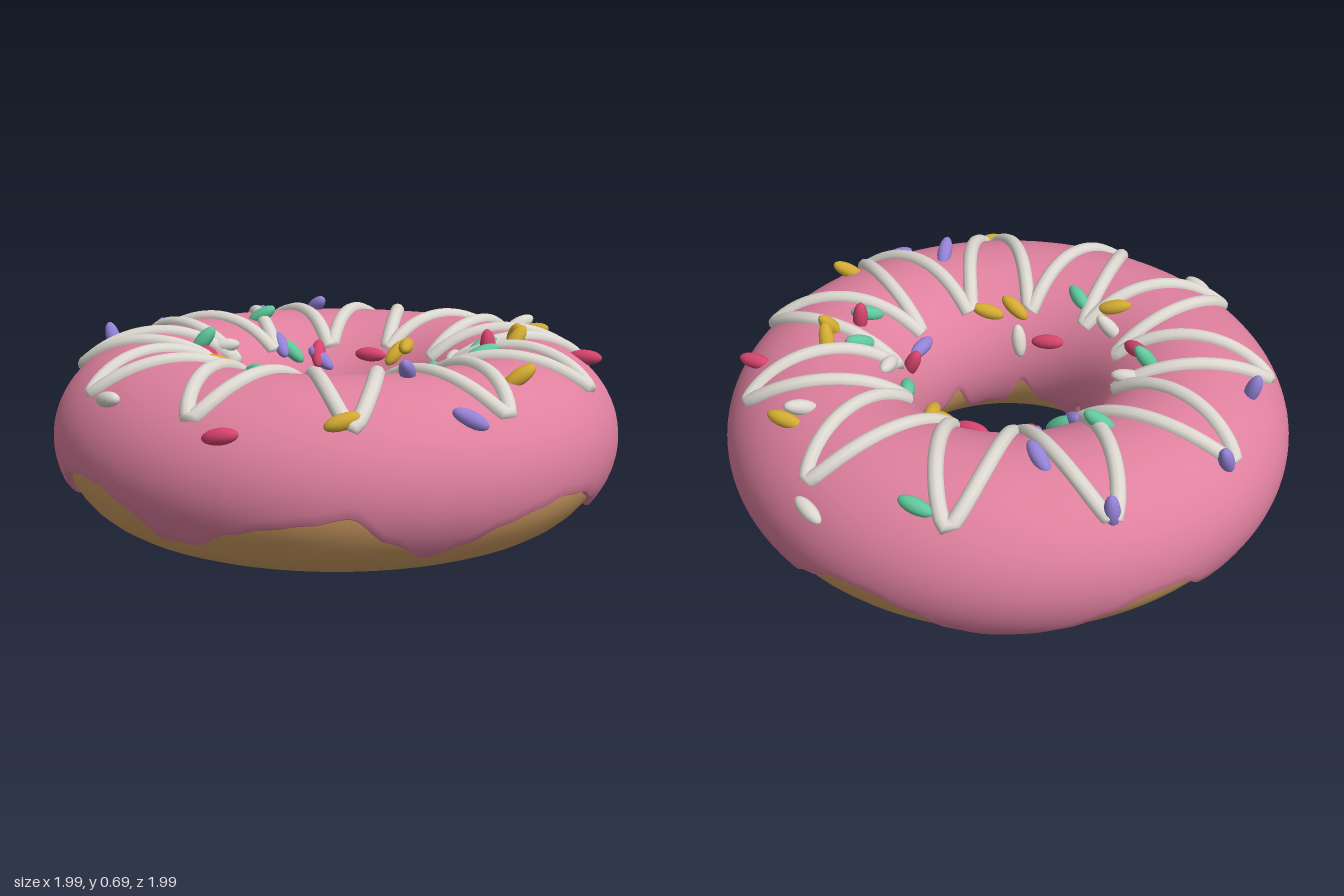
import * as THREE from 'three';

const RING = 0.65, MID = 0.31;   // ring radius and height of the tube centre
const A = 0.347, B = 0.316;      // icing half-width and half-height

const paint = (name, color) => {
  const m = new THREE.MeshStandardMaterial({ color });
  m.name = name;
  return m;
};

// Point on the icing: a runs round the ring, p round the tube (0 outside, PI/2 top)
function onIcing(a, p, scale = 1) {
  const r = RING + A * scale * Math.cos(p);
  return new THREE.Vector3(r * Math.cos(a), MID + B * scale * Math.sin(p), r * Math.sin(a));
}

// Height of the dripping outer edge, every 7.5 degrees from the front towards +x
const DRIPS = [
  0.24, 0.265, 0.17, 0.10, 0.14, 0.19, 0.22, 0.245, 0.23, 0.18, 0.11, 0.13,
  0.24, 0.265, 0.235, 0.20, 0.15, 0.11, 0.15, 0.22, 0.275, 0.265, 0.22, 0.15,
  0.11, 0.12, 0.15, 0.20, 0.25, 0.25, 0.17, 0.12, 0.13, 0.15, 0.20, 0.25,
  0.24, 0.14, 0.11, 0.19, 0.26, 0.28, 0.275, 0.22, 0.13, 0.13, 0.19, 0.22];

function outerEdge(a) {
  const n = DRIPS.length;
  const t = ((0.25 - a / (2 * Math.PI) + 2) % 1) * n;
  const i = Math.floor(t), f = t - i, s = f * f * (3 - 2 * f);
  return DRIPS[i % n] * (1 - s) + DRIPS[(i + 1) % n] * s;
}
const innerEdge = a => 0.19 + 0.06 * Math.cos(7 * a + 0.6) + 0.025 * Math.sin(16 * a);

// Icing shell with a turned-in lip along both edges
function icingGeometry() {
  const around = 240, across = 40, pos = [], index = [];
  for (let i = 0; i < around; i++) {
    const a = (i / around) * Math.PI * 2;
    const p0 = Math.asin((outerEdge(a) - MID) / B);
    const p1 = Math.PI - Math.asin((innerEdge(a) - MID) / B);
    for (let j = 0; j <= across; j++) {
      const t = Math.min(Math.max((j - 2) / (across - 4), 0), 1);
      const rim = Math.min(j, across - j);
      const lip = rim === 0 ? -0.02 : rim === 1 ? -0.025 : 0;
      const p = p0 + (p1 - p0) * t + (j < across / 2 ? lip : -lip);
      pos.push(...onIcing(a, p, rim === 0 ? 0.88 : rim === 1 ? 0.975 : 1).toArray());
    }
  }
  const at = (i, j) => (i % around) * (across + 1) + j;
  for (let i = 0; i < around; i++) {
    for (let j = 0; j < across; j++) {
      index.push(at(i, j), at(i, j + 1), at(i + 1, j + 1));
      index.push(at(i, j), at(i + 1, j + 1), at(i + 1, j));
    }
  }
  const g = new THREE.BufferGeometry();
  g.setAttribute('position', new THREE.Float32BufferAttribute(pos, 3));
  g.setIndex(index);
  g.computeVertexNormals();
  return g;
}

// Zigzag of eleven loops lying on the icing
class Zigzag extends THREE.Curve {
  getPoint(t, target = new THREE.Vector3()) {
    const a = t * Math.PI * 2, k = 0.975;
    const wave = -Math.asin(k * Math.cos(11 * a)) / Math.asin(k);
    return target.copy(onIcing(a, Math.PI / 2 - wave * THREE.MathUtils.degToRad(48)));
  }
}

// Sprinkles by colour: x, z, heading from +x towards +z, optional lift off the surface
const SPRINKLES = {
  red: [[0.87, -0.07, 20, 35], [-0.45, 0.07, 50], [0.1, -0.36, 20], [-0.1, -0.36, 80], [0.54, 0.13, 0, 80],
    [0.36, 0.05, 0, 60], [-0.13, 0.31, 0], [-0.27, 0.9, 0]],
  purple: [[-0.37, -0.81, 60, 50], [-0.14, -0.67, 50, 30], [-0.73, -0.52, 10, 45], [-0.83, -0.17, 0, 75],
    [-0.24, -0.33, 60], [-0.09, -0.35, 50], [0.33, 0.16, 110], [0.28, 0.61, 100, 40], [0.48, 0.77, 20]],
  green: [[0.23, -0.84, 30], [-0.33, -0.46, 0, 40], [-0.2, -0.33, 40], [0.35, -0.12, 90], [-0.49, -0.04, 0, 75],
    [0.52, 0, -30], [0.52, 0.18, -20], [-0.24, 0.4, 65]],
  yellow: [[0.7, -0.45, 20, 30], [0.24, -0.33, 100, 30], [0.2, -0.33, 130], [0.63, -0.04, 70, 50],
    [0.63, 0.05, -30, 50], [0.63, 0.5, -30, 45], [0, 0.4, 50], [0.1, 0.38, 15], [0.1, 0.89, -30],
    [-0.37, 0.32, 0]],
  white: [[0.58, -0.76, 70], [0.65, -0.42, -30, 40], [-0.68, 0.6, 35], [-0.36, 0.23, 60, 60], [-0.43, -0.11, 0, 40],
    [-0.02, 0.33, 90], [0.42, -0.05, 110]],
};

function sprinkle(geometry, material, [x, z, heading, lift = 5]) {
  const a = Math.atan2(z, x);
  const c = THREE.MathUtils.clamp((Math.hypot(x, z) - RING) / A, -0.98, 0.98);
  const p = Math.acos(c);
  const normal = new THREE.Vector3(c / A * Math.cos(a), Math.sin(p) / B, c / A * Math.sin(a)).normalize();
  const h = THREE.MathUtils.degToRad(heading), l = THREE.MathUtils.degToRad(lift);
  const dir = new THREE.Vector3(Math.cos(h), 0, Math.sin(h)).projectOnPlane(normal).normalize();
  dir.multiplyScalar(Math.cos(l)).addScaledVector(normal, Math.sin(l));
  const m = new THREE.Mesh(geometry, material);
  m.position.copy(onIcing(a, p)).addScaledVector(normal, 0.008 + 0.012 * Math.sin(l));
  m.quaternion.setFromUnitVectors(new THREE.Vector3(0, 1, 0), dir);
  return m;
}

export function createModel() {
  const group = new THREE.Group();
  const add = (name, geometry, material) => {
    const m = new THREE.Mesh(geometry, material);
    m.name = name;
    group.add(m);
  };
  const white = paint('whiteIcing', 0xdcd8d0);

  // Dough ring
  const dough = new THREE.TorusGeometry(RING, 0.32, 40, 120).rotateX(Math.PI / 2);
  dough.scale(1, MID / 0.32, 1).translate(0, MID, 0);
  add('dough', dough, paint('dough', 0xd3a064));

  add('icing', icingGeometry(), paint('pinkIcing', 0xdf809f));
  add('drizzle', new THREE.TubeGeometry(new Zigzag(), 528, 0.027, 10, true), white);

  // Sprinkles
  const materials = {
    red: paint('red', 0xd8446e), purple: paint('purple', 0x9482d6),
    green: paint('green', 0x60c89c), yellow: paint('yellow', 0xd2aa32), white,
  };
  const grain = new THREE.SphereGeometry(1, 14, 10).scale(0.027, 0.062, 0.027);
  for (const [color, list] of Object.entries(SPRINKLES)) {
    const set = new THREE.Group();
    set.name = color + 'Sprinkles';
    for (const s of list) {
      const m = sprinkle(grain, materials[color], s);
      m.name = color + 'Sprinkle';
      set.add(m);
    }
    group.add(set);
  }
  return group;
}
